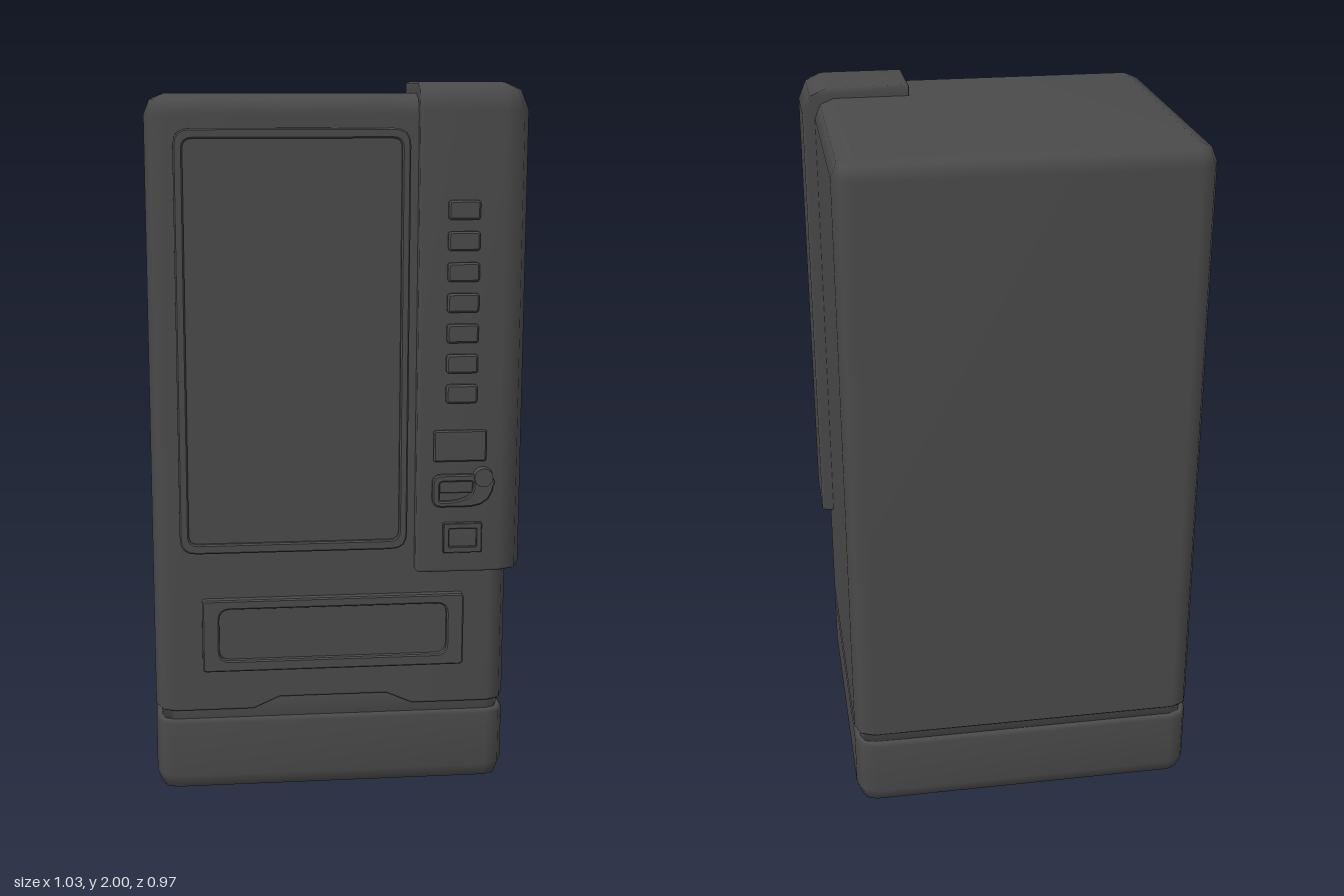
import * as THREE from 'three';

const material = new THREE.MeshStandardMaterial({ color: 0x4a4a4a });
const K = 1 - Math.SQRT1_2; // inset of the middle step of a two-step round

// Stacks rounded rectangles. box = [x0, x1, z0, z1], radii = [frontLeft, frontRight, backRight, backLeft]
// (model's own sides), rings = [y, inset of +x and +z sides, inset of -x and -z sides].
// notch = [[x, lift], ...] adds points along the front edge that are lifted on the lowest rings.
function loft(box, radii, rings, { notch = [], liftedRings = 0, openBottom = false } = {}) {
  const [x0, x1, z0, z1] = box;
  const pos = [], index = [];
  rings.forEach(([y, a, b = a], k) => {
    const X = [x1 - a, x0 + b, x0 + b, x1 - a];
    const Z = [z1 - a, z1 - a, z0 + b, z0 + b];
    const sx = [1, -1, -1, 1], sz = [1, 1, -1, -1];
    for (let c = 0; c < 4; c++) {
      const r = Math.max(radii[c] - a, 0.004);
      for (let s = 0; s <= 2; s++) {
        const t = (c + s / 2) * Math.PI / 2;
        pos.push(X[c] - sx[c] * r + r * Math.cos(t), y, Z[c] - sz[c] * r + r * Math.sin(t));
      }
      if (c === 0) for (const [x, lift] of notch) pos.push(x, y + (k < liftedRings ? lift : 0), z1 - a);
    }
  });
  const n = 12 + notch.length, last = (rings.length - 1) * n;
  for (let k = 0; k < rings.length - 1; k++) {
    for (let i = 0; i < n; i++) {
      const p = k * n + i, q = k * n + (i + 1) % n;
      index.push(p, p + n, q, q, p + n, q + n);
    }
  }
  for (let i = 1; i < n - 1; i++) {
    index.push(last, last + i + 1, last + i);
    if (!openBottom) index.push(0, i, i + 1);
  }
  const g = new THREE.BufferGeometry();
  g.setAttribute('position', new THREE.Float32BufferAttribute(pos, 3));
  g.setIndex(index);
  g.computeVertexNormals();
  return g;
}

// Rounded rectangle outline given by its edges
function roundRect(x0, x1, y0, y1, r, Type = THREE.Shape) {
  const s = new Type();
  s.moveTo(x0 + r, y0);
  s.lineTo(x1 - r, y0).quadraticCurveTo(x1, y0, x1, y0 + r);
  s.lineTo(x1, y1 - r).quadraticCurveTo(x1, y1, x1 - r, y1);
  s.lineTo(x0 + r, y1).quadraticCurveTo(x0, y1, x0, y1 - r);
  s.lineTo(x0, y0 + r).quadraticCurveTo(x0, y0, x0 + r, y0);
  return s;
}

// Plate facing the front, from z0 to z1, with a fine bevel
function plate(shape, z0, z1, bevel = 0.004) {
  const g = new THREE.ExtrudeGeometry(shape, {
    depth: z1 - z0 - 2 * bevel, bevelEnabled: true, bevelSize: bevel, bevelThickness: bevel,
    bevelOffset: -bevel, bevelSegments: 1, curveSegments: 4,
  });
  return g.translate(0, 0, z0 + bevel);
}

export function createModel() {
  const model = new THREE.Group();
  const add = (name, geometry, parent = model) => {
    const mesh = new THREE.Mesh(geometry, material);
    mesh.name = name;
    parent.add(mesh);
    return mesh;
  };
  const group = (name) => {
    const g = new THREE.Group();
    g.name = name;
    model.add(g);
    return g;
  };

  // Cabinet: base, recessed seam, and upper body with a raised notch at the front
  const cabinet = [-0.52, 0.48, -0.485, 0.43];
  const R = 0.055, corners = [R, R, R, R];
  add('base', loft(cabinet, corners, [
    [0.005, R], [0.005 + K * R, K * R], [0.005 + R, 0], [0.217, 0], [0.227, 0.008], [0.227, 0.03],
  ]));
  add('seam', loft(cabinet, corners, [[0.2, 0.016], [0.31, 0.016]]));
  add('upperBody', loft(cabinet, corners, [
    [0.255, 0.03], [0.255, 0.008], [0.263, 0], [1.97 - R, 0], [1.97 - K * R, K * R], [1.97, R],
  ], { notch: [[0.21, 0], [0.135, 0.033], [-0.17, 0.033], [-0.245, 0]], liftedRings: 3, openBottom: true }));

  // Control column wrapping the front left corner
  const C = 0.075, e = 0.008;
  add('controlColumn', loft([0.21, 0.515, 0.183, 0.465], [C, e, e, e], [
    [0.655, e], [0.655 + e, 0], [2 - C, 0, 0], [2 - K * C, K * C, 0], [2 - e / 2, C * 0.8, 0], [2, C, e],
  ]));

  // Display window: raised frame around a recessed pane
  const windowGroup = group('displayWindow');
  const frame = roundRect(-0.445, 0.185, 0.725, 1.88, 0.045);
  frame.holes.push(roundRect(-0.42, 0.162, 0.752, 1.853, 0.025, THREE.Path));
  add('windowFrame', plate(frame, 0.425, 0.463), windowGroup);
  add('windowPane', plate(roundRect(-0.43, 0.172, 0.742, 1.863, 0.03), 0.42, 0.45, 0.002), windowGroup);

  // Dispensing hatch: raised surround with a shallow recess
  const hatch = group('dispensingHatch');
  const surround = roundRect(-0.387, 0.35, 0.378, 0.587, 0.012);
  surround.holes.push(roundRect(-0.34, 0.302, 0.41, 0.56, 0.03, THREE.Path));
  add('hatchSurround', plate(surround, 0.42, 0.455), hatch);
  add('hatchFlap', plate(roundRect(-0.35, 0.312, 0.4, 0.57, 0.03), 0.415, 0.437, 0.002), hatch);

  // Column of selection buttons
  const buttons = group('selectionButtons');
  for (let i = 0; i < 7; i++) {
    const y = 1.664 - i * 0.0833;
    add('selectionButton', plate(roundRect(0.286, 0.373, y - 0.026, y + 0.026, 0.01), 0.455, 0.48, 0.005), buttons);
  }

  // Price display
  add('priceDisplay', plate(roundRect(0.255, 0.402, 0.974, 1.062, 0.006), 0.455, 0.474));

  // Coin unit: rounded surround with a slot, and a round return knob
  const coin = group('coinUnit');
  const D = (x0, x1, y0, y1, r, Type) => {
    const s = new Type();
    s.moveTo(x0 + r, y0);
    s.lineTo(x1 - 0.065, y0).quadraticCurveTo(x1, y0 + 0.005, x1, y1 - 0.02);
    s.lineTo(x1, y1 - r).quadraticCurveTo(x1, y1, x1 - r, y1);
    s.lineTo(x0 + r, y1).quadraticCurveTo(x0, y1, x0, y1 - r);
    s.lineTo(x0, y0 + r).quadraticCurveTo(x0, y0, x0 + r, y0);
    return s;
  };
  const coinShape = D(0.252, 0.424, 0.846, 0.938, 0.025, THREE.Shape);
  coinShape.holes.push(D(0.272, 0.366, 0.862, 0.918, 0.01, THREE.Path));
  add('coinSurround', plate(coinShape, 0.455, 0.48), coin);
  add('coinSlot', plate(roundRect(0.272, 0.366, 0.885, 0.92, 0.006), 0.455, 0.472, 0.002), coin);
  const knob = add('coinReturnKnob', new THREE.CylinderGeometry(0.026, 0.03, 0.03, 16).rotateX(Math.PI / 2), coin);
  knob.position.set(0.394, 0.929, 0.47);

  // Change tray
  const tray = group('changeTray');
  const trayShape = roundRect(0.284, 0.392, 0.715, 0.8, 0.003);
  trayShape.holes.push(roundRect(0.3, 0.377, 0.732, 0.784, 0.003, THREE.Path));
  add('trayFrame', plate(trayShape, 0.455, 0.48, 0.002), tray);
  add('trayFlap', plate(roundRect(0.296, 0.381, 0.728, 0.788, 0.003), 0.45, 0.471, 0.002), tray);

  return model;
}
